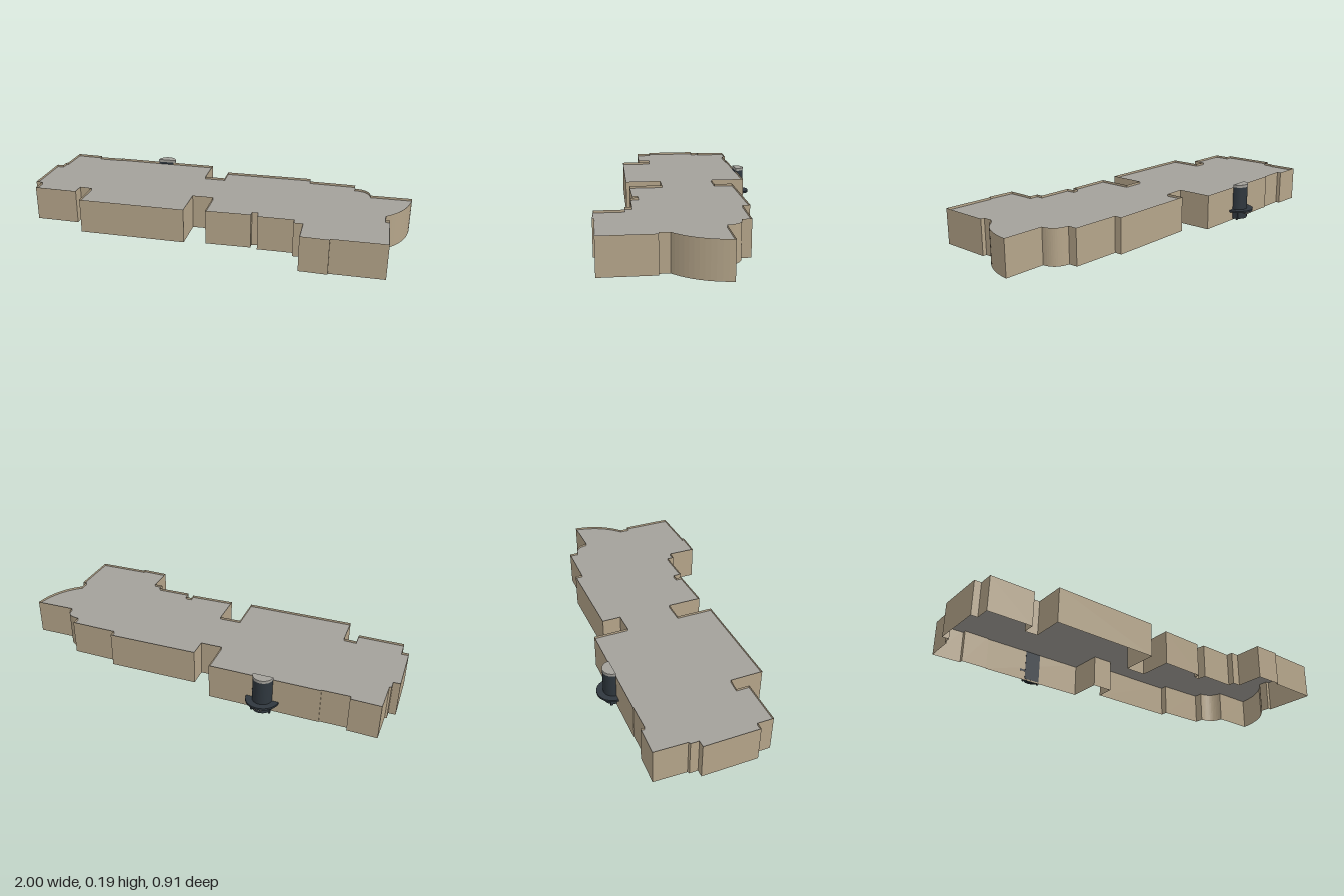
import * as THREE from 'three';

const wallMat = new THREE.MeshStandardMaterial({ name: 'sandstone', color: 0xb5a58a, side: THREE.DoubleSide });
const roofMat = new THREE.MeshStandardMaterial({ name: 'roof grey', color: 0xa3a19b, side: THREE.DoubleSide });
const darkMat = new THREE.MeshStandardMaterial({ name: 'dark slate', color: 0x2f373e, side: THREE.DoubleSide });

const WALL_TOP = 0.18, ROOF_Y = 0.168;

// Ground plan as [x, z]; four numbers mean a curve: control x, z, end x, z
const plan = [
  [-1, -0.195], [-0.965, -0.195], [-0.965, -0.235], [-0.955, -0.24], [-0.95, -0.4],
  [-0.805, -0.395], [-0.805, -0.375], [-0.67, -0.375], [-0.67, -0.38], [-0.115, -0.373],
  [-0.115, -0.195], [-0.005, -0.195], [-0.005, -0.29], [0.46, -0.29], [0.46, -0.253],
  [0.705, -0.247], [0.705, -0.2], [0.785, -0.195, 0.79, -0.12], [1, -0.12],
  [0.985, 0.04, 0.87, 0.13], [0.87, 0.18], [0.89, 0.18], [0.89, 0.445], [0.625, 0.445],
  [0.625, 0.455], [0.485, 0.45], [0.485, 0.305], [0.44, 0.305], [0.44, 0.27],
  [0.26, 0.27], [0.255, 0.225], [0.225, 0.228], [0.225, 0.258], [-0.005, 0.262],
  [-0.005, 0.085], [-0.115, 0.085], [-0.115, 0.275], [-0.67, 0.27], [-0.67, 0.105],
  [-0.735, 0.1], [-0.735, 0.165], [-0.965, 0.16], [-0.965, 0.08], [-1, 0.08],
];

function planShape() {
  const s = new THREE.Shape();
  plan.forEach((p, i) => {
    if (i === 0) s.moveTo(p[0], -p[1]);
    else if (p.length === 4) s.quadraticCurveTo(p[0], -p[1], p[2], -p[3]);
    else s.lineTo(p[0], -p[1]);
  });
  return s;
}

// One upright panel per edge of the plan, facing outwards
function wallGeometry(points) {
  const pos = [];
  points.forEach((a, i) => {
    const b = points[(i + 1) % points.length];
    const a0 = [a.x, 0, -a.y], a1 = [a.x, WALL_TOP, -a.y];
    const b0 = [b.x, 0, -b.y], b1 = [b.x, WALL_TOP, -b.y];
    pos.push(...a0, ...b1, ...b0, ...a0, ...a1, ...b1);
  });
  const g = new THREE.BufferGeometry();
  g.setAttribute('position', new THREE.Float32BufferAttribute(pos, 3));
  g.computeVertexNormals();
  return g;
}

// Upright half drum whose round side faces the back, with a flat inner side
function halfDrum(radius, y0, y1) {
  const s = new THREE.Shape();
  s.absarc(0, 0, radius, 0, Math.PI, false);
  s.closePath();
  const g = new THREE.ExtrudeGeometry(s, { depth: y1 - y0, bevelEnabled: false, curveSegments: 14 });
  g.rotateX(-Math.PI / 2);
  g.translate(0, y0, 0);
  return g;
}

export function createModel() {
  const model = new THREE.Group();
  model.name = 'building';
  const add = (parent, name, geometry, material) => {
    const m = new THREE.Mesh(geometry, material);
    m.name = name;
    parent.add(m);
    return m;
  };

  // Open-bottomed shell with the roof set just below the wall tops
  const shape = planShape();
  add(model, 'outerWalls', wallGeometry(shape.getPoints(12)), wallMat);
  const roof = new THREE.ShapeGeometry(shape, 12);
  roof.rotateX(-Math.PI / 2);
  roof.translate(0, ROOF_Y, 0);
  add(model, 'roof', roof, roofMat);

  // Round bay on the back wall
  const tower = new THREE.Group();
  tower.name = 'tower';
  tower.position.set(-0.39, 0, -0.376);
  model.add(tower);
  add(tower, 'towerBody', halfDrum(0.049, 0.008, 0.18), darkMat);
  add(tower, 'towerCap', halfDrum(0.05, 0.18, 0.194), roofMat);
  add(tower, 'towerCanopy', halfDrum(0.081, 0.049, 0.059), darkMat);

  // Small supports and sill under the canopy
  for (const side of [-1, 1]) {
    add(tower, 'canopySupport', new THREE.BoxGeometry(0.008, 0.045, 0.012), darkMat)
      .position.set(side * 0.045, 0.0265, -0.025);
  }
  add(tower, 'canopySill', new THREE.BoxGeometry(0.04, 0.004, 0.024), roofMat)
    .position.set(0, 0.04, -0.06);
  add(tower, 'towerFoot', new THREE.BoxGeometry(0.05, 0.008, 0.018), darkMat)
    .position.set(0, 0.004, -0.01);

  return model;
}
